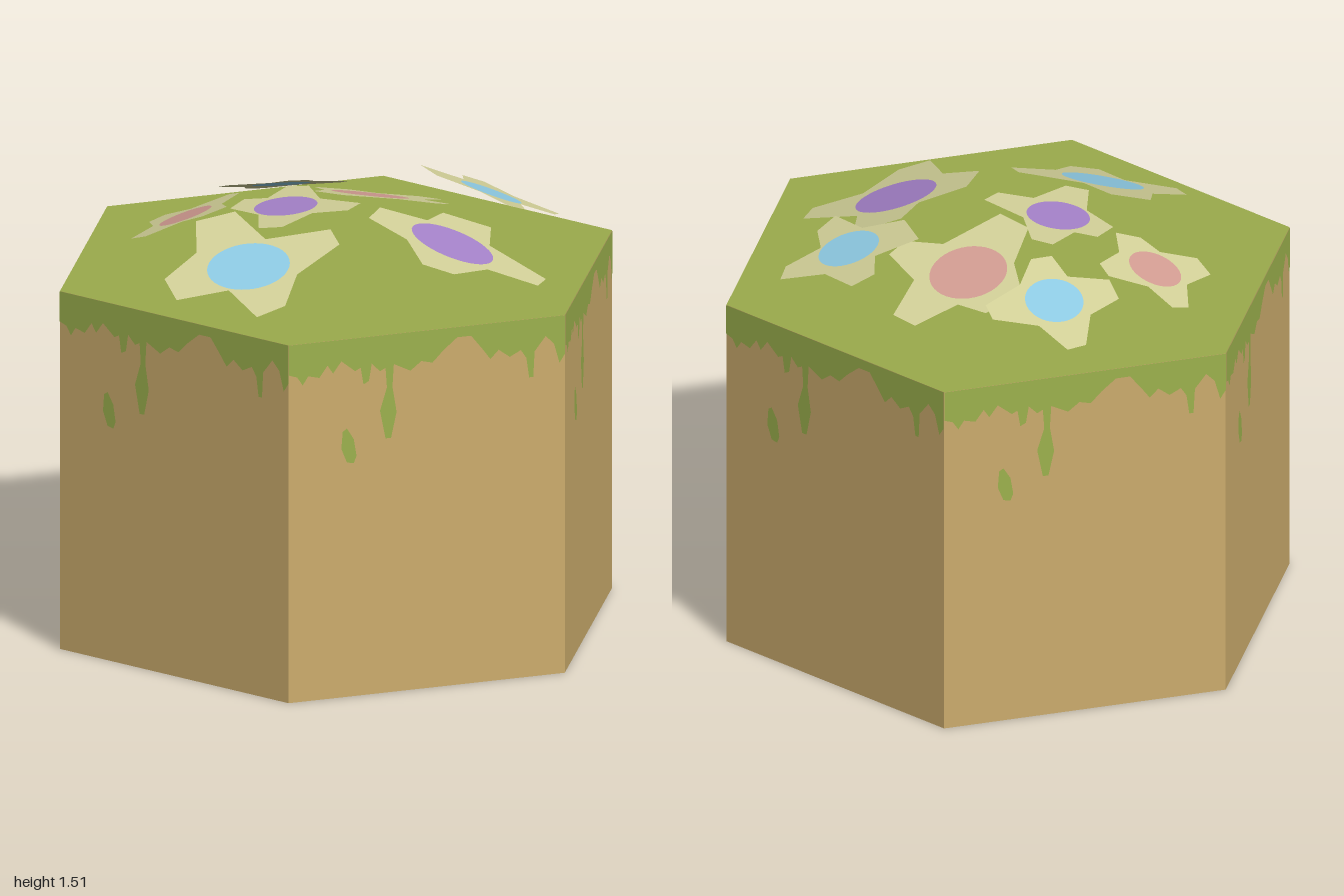
import * as THREE from 'three';

const H = 1.266; // top of the block
const APOTHEM = Math.sqrt(3) / 2;

function mat(name, color, side = THREE.FrontSide) {
  const m = new THREE.MeshStandardMaterial({ color, side });
  m.name = name;
  return m;
}

function shapeFrom(flat) {
  const pts = [];
  for (let i = 0; i < flat.length; i += 2) pts.push(new THREE.Vector2(flat[i], flat[i + 1]));
  return new THREE.Shape(pts);
}

export function createModel() {
  const model = new THREE.Group();
  const sand = mat('sand', 0xcdad6d);
  const grass = mat('grass', 0x9bab4c);
  const drip = mat('grassDrip', 0x9db24e);
  const petal = mat('petal', 0xd2d098, THREE.DoubleSide);
  const blue = mat('blueCentre', 0x8ecbe4, THREE.DoubleSide);
  const pink = mat('pinkCentre', 0xd29c92, THREE.DoubleSide);
  const purple = mat('purpleCentre', 0xa582c9, THREE.DoubleSide);

  const add = (parent, name, geo, material) => {
    const mesh = new THREE.Mesh(geo, material);
    mesh.name = name;
    parent.add(mesh);
    return mesh;
  };

  // Hexagonal block: sandy walls, grassy top and underside
  const block = new THREE.CylinderGeometry(1, 1, H, 6).rotateY(Math.PI / 6).translate(0, H / 2, 0).toNonIndexed();
  block.computeVertexNormals();
  add(model, 'block', block, [sand, grass, grass]);

  // Ragged grass edge, repeated on every wall
  const edge = shapeFrom([
    -0.5, H, -0.5, 1.16, -0.47, 1.15, -0.45, 1.12, -0.43, 1.15, -0.39, 1.14, -0.36, 1.18, -0.34, 1.15,
    -0.31, 1.19, -0.26, 1.15, -0.24, 1.16, -0.23, 1.1, -0.21, 1.11, -0.2, 1.17, -0.17, 1.14, -0.15, 1.15,
    -0.145, 1.08, -0.17, 1.0, -0.15, 0.9, -0.13, 0.9, -0.11, 0.99, -0.125, 1.08, -0.12, 1.16, -0.06, 1.13,
    -0.02, 1.16, 0.02, 1.15, 0.06, 1.19, 0.11, 1.23, 0.16, 1.23, 0.2, 1.18, 0.23, 1.14, 0.26, 1.17,
    0.3, 1.14, 0.34, 1.16, 0.36, 1.13, 0.37, 1.06, 0.385, 1.06, 0.39, 1.15, 0.43, 1.2, 0.46, 1.17,
    0.48, 1.1, 0.5, 1.13, 0.5, H,
  ]);
  const drop = shapeFrom([-0.305, 0.94, -0.29, 0.95, -0.265, 0.91, -0.255, 0.85, -0.265, 0.825, -0.29, 0.83, -0.31, 0.88]);
  const edgeGeo = new THREE.ShapeGeometry([edge, drop]).translate(0, 0, APOTHEM + 0.002);
  for (let i = 0; i < 6; i++) add(model, 'grassEdge', edgeGeo, drip).rotation.y = (i * Math.PI) / 3;

  // Flat four-petalled flower lying on the plane y + sx * dx + sz * dz.
  // Outline points are x, z offsets from its middle in hundredths.
  function flower(name, [cx, cy, cz], [sx, sz], [rx, rz], colour, outline) {
    const group = new THREE.Group();
    group.name = name;
    group.position.set(cx, cy, cz);
    const lay = (shape) => {
      const geo = new THREE.ShapeGeometry(shape, 20);
      const p = geo.attributes.position;
      for (let i = 0; i < p.count; i++) {
        const x = p.getX(i), z = -p.getY(i);
        p.setXYZ(i, x, sx * x + sz * z, z);
      }
      geo.computeVertexNormals();
      return geo;
    };
    const ring = shapeFrom(outline.map((v, i) => (i % 2 ? -v : v) / 100));
    const disc = new THREE.Shape().absellipse(0, 0, rx, rz, 0, Math.PI * 2, false, 0.3);
    ring.holes.push(disc);
    add(group, 'petals', lay(ring), petal);
    add(group, 'flowerCentre', lay(disc), colour);
    model.add(group);
  }

  flower('frontFlower', [0.05, 1.38, 0.53], [-0.1, -0.37], [0.143, 0.122], blue,
    [-32, -11, -23, -21, -4, -14, 13, -28, 21, -23, 18, -4, 25, 11, 20, 20, 2, 13, -11, 25, -22, 18, -21, 2]);
  flower('leftFlower', [0.46, 1.4, -0.06], [-0.33, 0.14], [0.14, 0.125], purple,
    [-18, -17, -6, -28, 4, -15, 27, -17, 30, -9, 17, 2, 17, 20, 9, 27, -6, 17, -21, 19, -26, 7, -15, -5]);
  flower('backFlower', [0.255, 1.435, -0.52], [-0.17, 0.37], [0.105, 0.09], blue,
    [-16, -16, -1, -13, 14, -19, 17, -13, 11, -2, 19, 5, 18, 13, 3, 10, -10, 17, -23, 10, -13, -1, -20, -9]);
  flower('largeFlower', [-0.12, 1.4, -0.33], [0.08, 0.27], [0.132, 0.132], pink,
    [-3, -30, 7, -30, 13, -13, 29, -8, 29, 0, 17, 6, 11, 28, -2, 28, -10, 12, -23, 2, -19, -12, -8, -14]);
  flower('backRightFlower', [-0.46, 1.385, -0.27], [0.27, 0.24], [0.1, 0.095], blue,
    [-21, -7, -18, -13, -4, -12, 9, -21, 15, -18, 13, -3, 18, 8, 14, 14, 4, 11, -7, 20, -15, 16, -13, 4]);
  flower('rightFlower', [-0.52, 1.365, 0.17], [0.38, -0.12], [0.088, 0.09], pink,
    [-19, -4, -17, -10, -6, -10, 3, -20, 9, -18, 11, -6, 19, 1, 14, 8, 6, 9, -1, 20, -9, 18, -10, 5]);
  flower('middleFlower', [-0.13, 1.46, 0.11], [0.08, -0.07], [0.108, 0.105], purple,
    [-14, -18, -7, -21, 6, -11, 23, -12, 24, -4, 14, 3, 14, 19, 7, 23, -3, 11, -17, 9, -19, -1, -12, -5]);

  return model;
}
